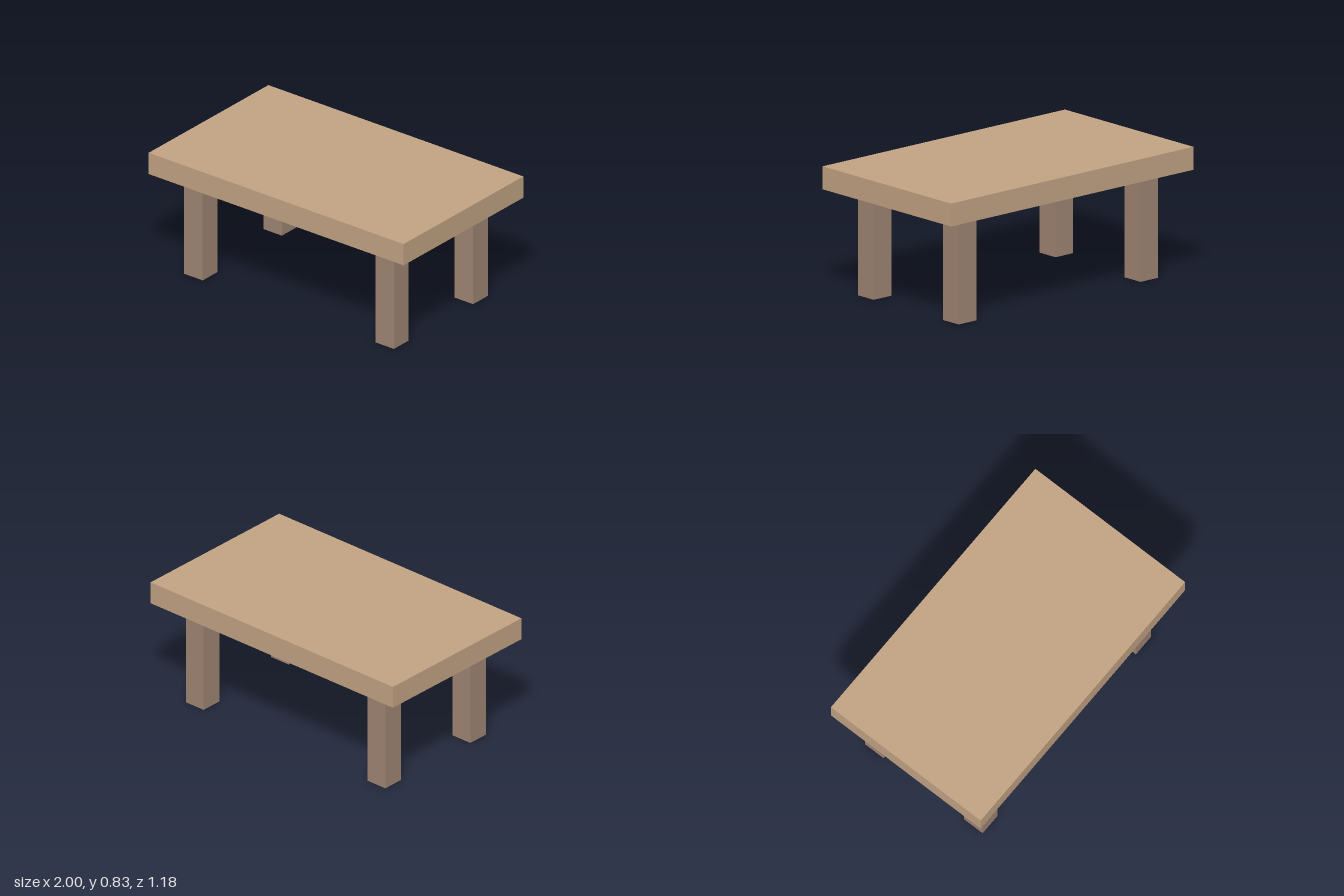
import * as THREE from 'three';

export function createModel() {
  const table = new THREE.Group();
  table.name = 'table';

  const topMaterial = new THREE.MeshStandardMaterial({ color: 0xc4a484 });
  const legMaterial = new THREE.MeshStandardMaterial({ color: 0xa08674 });

  const legHeight = 0.68;
  const thickness = 0.146; // shared by the slab and the square legs

  // Slab top
  const top = new THREE.Mesh(new THREE.BoxGeometry(2, thickness, 1.18), topMaterial);
  top.name = 'tableTop';
  top.position.y = legHeight + thickness / 2;
  table.add(top);

  // Four square legs, set in from the corners
  const legGeometry = new THREE.BoxGeometry(thickness, legHeight, thickness);
  for (const [zName, z] of [['front', 0.39], ['back', -0.39]]) {
    for (const [xName, x] of [['Left', 0.75], ['Right', -0.75]]) {
      const leg = new THREE.Mesh(legGeometry, legMaterial);
      leg.name = `${zName}${xName}Leg`;
      leg.position.set(x, legHeight / 2, z);
      table.add(leg);
    }
  }

  return table;
}
